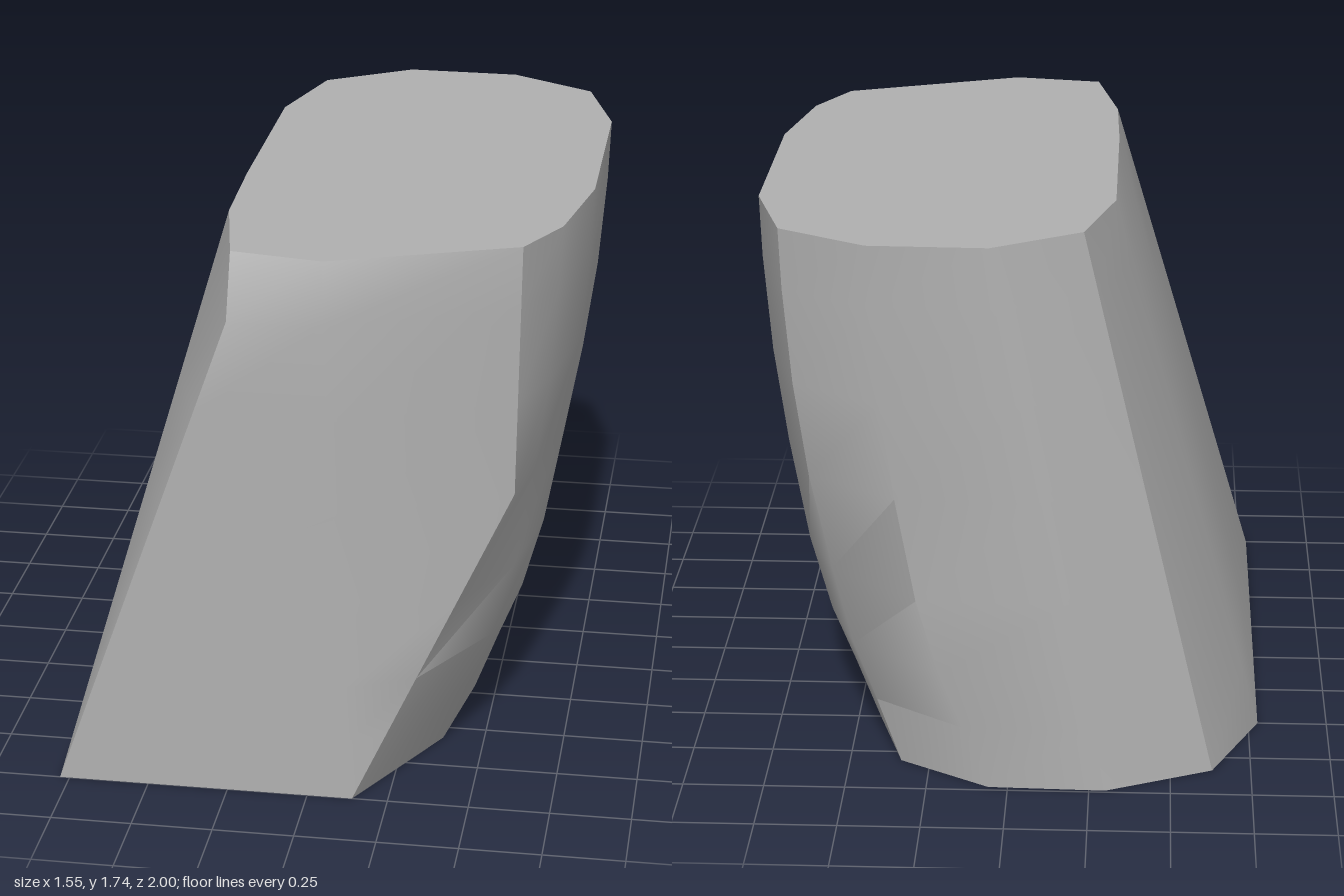
import * as THREE from 'three';
import { toCreasedNormals } from 'three/addons/utils/BufferGeometryUtils.js';

const H = 1.74;
// heights of the cross-sections, and how far the right side has swung out at each
const LEVELS = [0, 0.2, 0.38, 0.62, 0.95, 1.25, 1.55, H];
const SWING = [0, 0.22, 0.43, 0.62, 0.79, 0.91, 0.98, 1];

// Upright ridges around the block, each a path of [y, x, z] keys.
const RIDGES = [
  { keys: [[0, -0.78, -0.5], [H, -0.31, -0.5]] },
  { keys: [[0, -0.63, -0.84], [H, -0.22, -0.83]] },
  { keys: [[0, -0.3, -0.99], [H, 0.05, -1]] },
  { keys: [[0, 0.06, -0.98], [H, 0.41, -0.99]], bow: true },
  { keys: [[0, 0.34, -0.81], [0.62, 0.46, -0.74], [0.95, 0.525, -0.8], [H, 0.68, -0.83]], bow: true },
  { keys: [[0, 0.43, -0.5], [H, 0.775, -0.5]], bow: true },
  { keys: [[0, 0.43, 0.2], [H, 0.775, 0.2]], bow: true },
  { keys: [[0, 0.37, 0.57], [H, 0.71, 0.56]], bow: true },
  { keys: [[0, 0.14, 1], [0.95, 0.6, 0.76], [H, 0.61, 0.76]] },
  { keys: [[0, 0.14, 1], [1.55, 0.05, 1], [H, 0.05, 0.97]] },
  { keys: [[0, -0.78, 1], [1.55, -0.23, 1], [H, -0.23, 0.92]] },
  { keys: [[0, -0.78, 1], [H, -0.3, 0.56]] },
  { keys: [[0, -0.78, 0.2], [H, -0.31, 0.2]] },
];

// Point of a ridge at a given level
function ridgePoint({ keys, bow }, level) {
  const y = LEVELS[level];
  let k = 0;
  while (k < keys.length - 2 && y > keys[k + 1][0]) k++;
  const [y0, x0, z0] = keys[k];
  const [y1, x1, z1] = keys[k + 1];
  const t = (y - y0) / (y1 - y0);
  const swing = bow ? (SWING[level] - y / H) * 0.345 : 0;
  return new THREE.Vector3(x0 + (x1 - x0) * t + swing, y, z0 + (z1 - z0) * t);
}

function blockGeometry() {
  const rings = LEVELS.map((_, i) => RIDGES.map((r) => ridgePoint(r, i)));
  const positions = [];
  const triangle = (a, b, c) => {
    // leave out triangles that collapse where ridges meet
    if (new THREE.Triangle(a, b, c).getArea() < 1e-7) return;
    for (const p of [a, b, c]) positions.push(p.x, p.y, p.z);
  };
  const n = RIDGES.length;
  const last = rings.length - 1;
  const baseCentre = new THREE.Vector3(-0.2, 0, 0);
  const topCentre = new THREE.Vector3(0.23, H, 0);
  for (let j = 0; j < n; j++) {
    const m = (j + 1) % n;
    // walls
    for (let i = 0; i < last; i++) {
      triangle(rings[i][j], rings[i + 1][j], rings[i][m]);
      triangle(rings[i][m], rings[i + 1][j], rings[i + 1][m]);
    }
    // flat base and top
    triangle(baseCentre, rings[0][j], rings[0][m]);
    triangle(topCentre, rings[last][m], rings[last][j]);
  }
  const geometry = new THREE.BufferGeometry();
  geometry.setAttribute('position', new THREE.Float32BufferAttribute(positions, 3));
  return toCreasedNormals(geometry, THREE.MathUtils.degToRad(38));
}

export function createModel() {
  const group = new THREE.Group();
  group.name = 'leaningBlock';
  const grey = new THREE.MeshStandardMaterial({ color: 0xb0b0b0 });
  grey.name = 'grey';
  const block = new THREE.Mesh(blockGeometry(), grey);
  block.name = 'block';
  group.add(block);
  return group;
}
